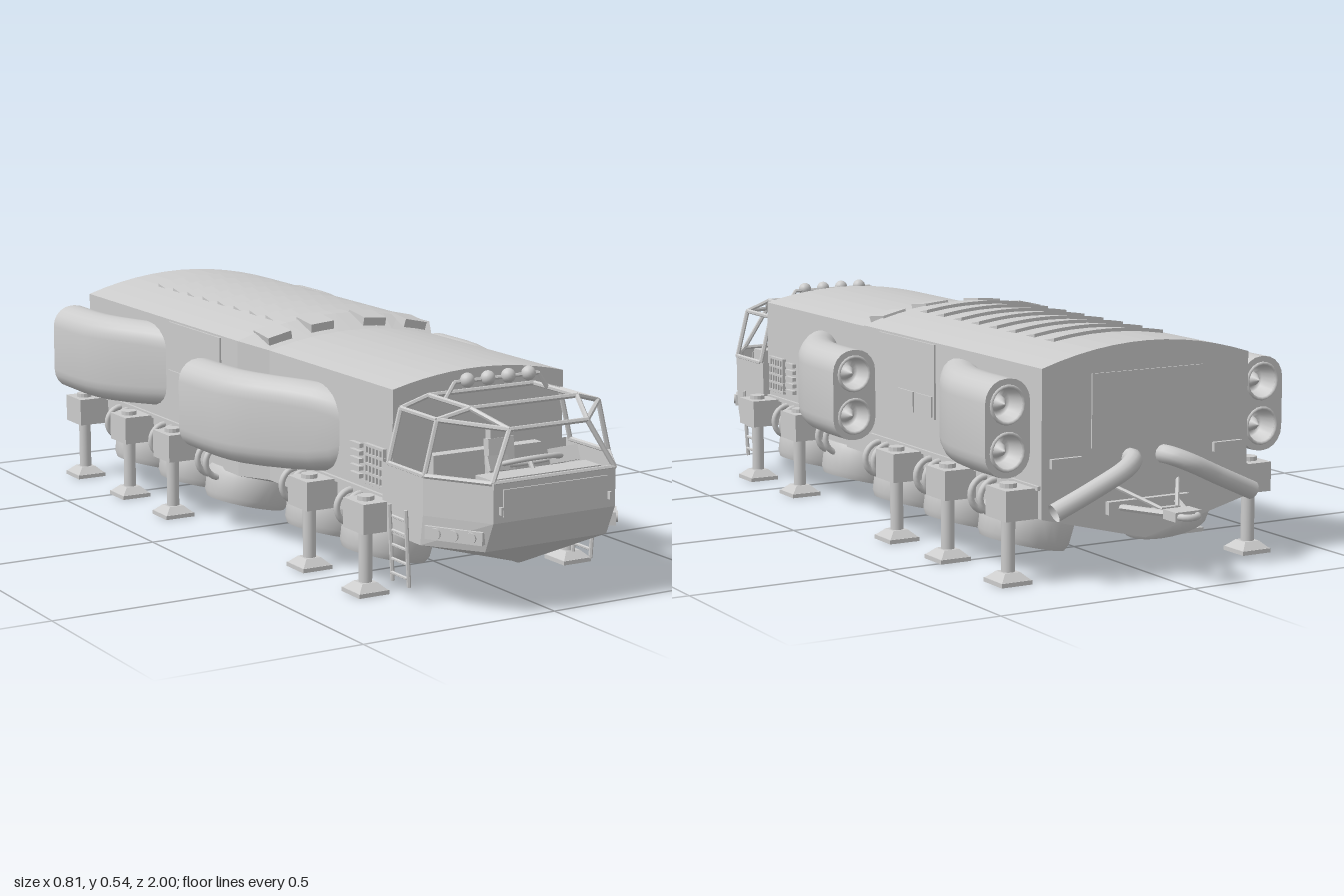
import * as THREE from 'three';
import { toCreasedNormals } from 'three/addons/utils/BufferGeometryUtils.js';

const V = (x, y, z) => new THREE.Vector3(x, y, z);
const flat = new THREE.MeshStandardMaterial({ color: 0xcccccc, flatShading: true, side: THREE.DoubleSide });
const smooth = new THREE.MeshStandardMaterial({ color: 0xcccccc, side: THREE.DoubleSide });

function add(parent, name, geo, pos = [0, 0, 0], rot = [0, 0, 0], mat = flat) {
  const m = new THREE.Mesh(geo, mat);
  m.name = name;
  m.position.set(...pos);
  m.rotation.set(...rot);
  parent.add(m);
  return m;
}
const box = (p, name, size, pos, rot) => add(p, name, new THREE.BoxGeometry(...size), pos, rot);

// straight rod between two points
function bar(p, name, a, b, r = 0.006, sides = 6) {
  const d = b.clone().sub(a);
  const m = add(p, name, new THREE.CylinderGeometry(r, r, d.length(), sides));
  m.position.copy(a).addScaledVector(d, 0.5);
  m.quaternion.setFromUnitVectors(V(0, 1, 0), d.normalize());
}

// skin over rings of equal length, optional fan caps
function loft(rings, capA = true, capB = true) {
  const pos = [], tri = (...v) => v.forEach(q => pos.push(q.x, q.y, q.z));
  const n = rings[0].length;
  for (let s = 0; s < rings.length - 1; s++) {
    const a = rings[s], b = rings[s + 1];
    for (let i = 0; i < n; i++) {
      const j = (i + 1) % n;
      tri(a[i], b[i], a[j]);
      tri(a[j], b[i], b[j]);
    }
  }
  const cap = (ring, flip) => {
    const c = ring.reduce((s, q) => s.add(q), V(0, 0, 0)).divideScalar(n);
    ring.forEach((q, i) => flip ? tri(c, ring[(i + 1) % n], q) : tri(c, q, ring[(i + 1) % n]));
  };
  if (capA) cap(rings[0], false);
  if (capB) cap(rings[rings.length - 1], true);
  const g = new THREE.BufferGeometry();
  g.setAttribute('position', new THREE.Float32BufferAttribute(pos, 3));
  g.computeVertexNormals();
  return g;
}

// hull section: keel, vertical sides, arched roof
function bodyRing([z, w, yc, ye]) {
  const ring = [V(0, 0.08, z), V(w, 0.15, z), V(w, 0.22, z)];
  for (let i = 0; i <= 12; i++) {
    const u = 1 - i / 6;
    ring.push(V(w * u, yc - (yc - ye) * u * u, z));
  }
  ring.push(V(-w, 0.22, z), V(-w, 0.15, z));
  return ring;
}
const roofY = x => 0.535 - 0.045 * (x / 0.28) ** 2;

// rounded upright rectangle as 2D points
function podSection(hw, hh) {
  const r = Math.min(hw, hh) * 0.92, pts = [];
  for (let k = 0; k < 4; k++) for (let i = 0; i <= 5; i++) {
    const a = (k + i / 5) * Math.PI / 2;
    const sx = k === 0 || k === 3 ? 1 : -1, sy = k < 2 ? 1 : -1;
    pts.push(new THREE.Vector2(sx * (hw - r) + r * Math.cos(a), sy * (hh - r) + r * Math.sin(a)));
  }
  return pts;
}

// swept side pod ending in two nozzles
function pod(parent, dy, dz) {
  const g = new THREE.Group();
  g.name = 'enginePod';
  g.position.set(0, 0.33 + dy, dz);
  parent.add(g);
  const path = [[0.5, 0.13, 0.05], [0.47, 0.165, 0.075], [0.43, 0.195, 0.095], [0.38, 0.226, 0.105], [0.32, 0.262, 0.109],
    [0.25, 0.302, 0.111], [0.19, 0.328, 0.112], [0.14, 0.341, 0.112], [0.08, 0.347, 0.112], [-0.035, 0.347, 0.112]];
  const rings = path.map(([z, x, hh]) => podSection(0.058, hh).map(q => V(q.x + x, q.y, z)));
  add(g, 'podShell', toCreasedNormals(loft(rings, true, false), 0.7), undefined, undefined, smooth);
  const end = new THREE.Shape(podSection(0.058, 0.112));
  const bowl = [[0, 0.01], [0.014, 0.03], [0.02, 0.05], [0.032, 0.045], [0.042, 0]].map(q => new THREE.Vector2(...q));
  for (const y of [-0.053, 0.053]) {
    end.holes.push(new THREE.Path().absarc(0, y, 0.042, 0, Math.PI * 2, true));
    add(g, 'nozzleBowl', new THREE.LatheGeometry(bowl, 20), [0.347, y, -0.035], [Math.PI / 2, 0, 0], smooth);
    add(g, 'nozzleRim', new THREE.TorusGeometry(0.042, 0.004, 6, 20), [0.347, y, -0.035], undefined, smooth);
  }
  add(g, 'podEnd', new THREE.ShapeGeometry(end, 16), [0.347, 0, -0.035]);
}

function wheel(parent, x, z) {
  const g = new THREE.Group();
  g.name = 'wheel';
  g.position.set(x, 0.095, z);
  g.rotation.z = 0.23;
  parent.add(g);
  const prof = [[0, -0.034], [0.022, -0.034], [0.03, -0.008], [0.078, -0.008], [0.086, -0.044], [0.1, -0.045],
    [0.108, -0.03], [0.112, 0.02], [0.106, 0.04], [0, 0.04]].map(q => new THREE.Vector2(...q));
  add(g, 'wheelDisc', toCreasedNormals(new THREE.LatheGeometry(prof, 28), 0.6), undefined, undefined, smooth);
  for (let k = 0; k < 3; k++)
    box(g, 'wheelSpoke', [0.16, 0.012, 0.012], [0, -0.014, 0], [0, k * Math.PI / 3, 0]);
}

function outrigger(parent, x, z) {
  box(parent, 'outriggerHousing', [0.085, 0.07, 0.09], [x - 0.01, 0.185, z]);
  add(parent, 'outriggerCollar', new THREE.CylinderGeometry(0.02, 0.02, 0.01, 14), [x, 0.225, z]);
  add(parent, 'outriggerPost', new THREE.CylinderGeometry(0.016, 0.016, 0.15, 14), [x, 0.095, z], undefined, smooth);
  add(parent, 'outriggerFoot', new THREE.CylinderGeometry(0.028, 0.055, 0.018, 4), [x, 0.018, z], [0, Math.PI / 4, 0]);
  box(parent, 'outriggerPad', [0.08, 0.01, 0.08], [x, 0.005, z]);
}

// parts that exist on both sides, built for +x
function buildSide(s) {
  pod(s, 0, 0);
  pod(s, 0.027, -0.735);
  for (const z of [0.54, 0.28, -0.07, -0.33, -0.59]) {
    const rear = z < 0;
    wheel(s, rear ? 0.19 : 0.155, z);
    for (const dz of [-0.022, 0.022])
      add(s, 'suspensionLoop', new THREE.TorusGeometry(0.04, 0.008, 8, 12, Math.PI),
        [rear ? 0.285 : 0.24, 0.17, z + dz], [0, 0, -Math.PI / 2], smooth);
  }
  for (const z of [0.655, 0.4]) outrigger(s, 0.285, z);
  for (const z of [-0.22, -0.47, -0.745]) outrigger(s, 0.33, z);
  // side panels, lockers and radiator grille
  box(s, 'sidePanel', [0.008, 0.18, 0.28], [0.281, 0.395, -0.185]);
  for (const z of [-0.19, -0.28]) box(s, 'sideLocker', [0.014, 0.05, 0.075], [0.282, 0.335, z]);
  box(s, 'sillRail', [0.012, 0.01, 0.8], [0.281, 0.22, -0.4]);
  box(s, 'sillRail', [0.012, 0.01, 0.56], [0.237, 0.22, 0.41]);
  for (let i = 0; i < 6; i++) box(s, 'grilleBar', [0.012, 0.095, 0.006], [0.238, 0.285, 0.585 + i * 0.015]);
  for (let i = 0; i < 5; i++) {
    box(s, 'grilleBar', [0.014, 0.006, 0.085], [0.238, 0.242 + i * 0.022, 0.622]);
    box(s, 'ventSlat', [0.018, 0.01, 0.045], [0.237, 0.25 + i * 0.018, 0.54]);
  }
  // ladder
  for (const z of [0.72, 0.79]) bar(s, 'ladderRail', V(0.252, 0.04, z), V(0.262, 0.22, z), 0.005);
  for (let i = 0; i < 5; i++) bar(s, 'ladderRung', V(0.255, 0.06 + i * 0.033, 0.72), V(0.255, 0.06 + i * 0.033, 0.79), 0.004);
  // headlight cluster on the corner face
  const h = new THREE.Group();
  h.name = 'headlight';
  h.position.set(0.21, 0.184, 0.913);
  h.rotation.y = 1.01;
  s.add(h);
  box(h, 'headlightBox', [0.14, 0.03, 0.022], [0, 0, 0]);
  for (const x of [-0.043, 0, 0.043])
    add(h, 'headlightLens', new THREE.CylinderGeometry(0.013, 0.013, 0.008, 16), [x, 0, 0.013], [Math.PI / 2, 0, 0]);
  // cab window frame
  const sillF = V(0.165, 0.31, 0.99), sillM = V(0.252, 0.31, 0.85), sillR = V(0.252, 0.31, 0.7);
  const topF = V(0.105, 0.42, 0.965), topM = V(0.22, 0.433, 0.85), topR = V(0.22, 0.433, 0.7);
  const roofF = V(0.145, 0.455, 0.87), roofR = V(0.145, 0.455, 0.7);
  for (const [a, b] of [[sillF, topF], [sillM, topM], [sillR, topR], [topF, topM], [topM, topR], [topF, roofF], [roofF, roofR],
    [topM, roofF], [topR, roofR], [sillF, sillM], [sillM, sillR]]) bar(s, 'windowFrame', a, b);
  for (const [n, a] of [['windowHeader', topF], ['windowSill', sillF], ['roofBar', roofF], ['roofBar', roofR]])
    bar(s, n, a, V(0, a.y, a.z));
  // roof light hoop
  bar(s, 'lightHoop', V(0.14, 0.455, 0.76), V(0.115, 0.492, 0.76), 0.005);
  bar(s, 'lightHoop', V(0.115, 0.492, 0.76), V(0, 0.492, 0.76), 0.005);
  for (const x of [0.028, 0.084])
    add(s, 'roofLight', new THREE.SphereGeometry(0.017, 16, 12), [x, 0.495, 0.765], undefined, smooth);
  box(s, 'cabScreen', [0.07, 0.035, 0.008], [0.09, 0.33, 0.9], [-0.4, -0.3, 0]);
  box(s, 'frontPanelHandle', [0.006, 0.018, 0.012], [0.147, 0.248, 0.998]);
  // roof intakes
  for (const x of [0.075, 0.195])
    box(s, 'roofIntake', [0.065, 0.03, 0.075], [x, roofY(x) - 0.014, 0.068], [0.12, 0, -x * 1.15]);
  // rear exhaust, lamps and tow arms
  const curve = new THREE.CatmullRomCurve3([V(0.045, 0.27, -0.79), V(0.05, 0.27, -0.825), V(0.085, 0.255, -0.85), V(0.17, 0.215, -0.85), V(0.27, 0.17, -0.842)]);
  add(s, 'exhaustPipe', new THREE.TubeGeometry(curve, 20, 0.022, 12), undefined, undefined, smooth);
  box(s, 'rearLamp', [0.08, 0.022, 0.01], [0.22, 0.275, -0.812]);
  bar(s, 'towArm', V(0.085, 0.16, -0.8), V(0.015, 0.16, -0.95), 0.008);
  bar(s, 'towBrace', V(0.09, 0.21, -0.8), V(0.02, 0.165, -0.9), 0.005);
}

export function createModel() {
  const model = new THREE.Group();
  model.name = 'heavyCrawlerTruck';

  // main hull
  const stations = [[0.69, 0.235, 0.505, 0.475], [0.12, 0.235, 0.505, 0.475], [0.04, 0.28, 0.535, 0.49], [-0.805, 0.28, 0.535, 0.49]];
  add(model, 'hull', loft(stations.map(bodyRing)));

  // roof louvres: wedges following the roof arch
  for (let i = 0; i < 8; i++) {
    const z = -0.05 - i * 0.085, rings = [];
    for (let k = 0; k <= 8; k++) {
      const x = 0.15 - k * 0.0375, y = roofY(x);
      rings.push([V(x, y - 0.004, z + 0.06), V(x, y - 0.004, z), V(x, y + 0.008, z)]);
    }
    add(model, 'roofLouvre', loft(rings));
  }

  // open cab tub
  const plan = (y, zf, zm, wf, w) => [V(w, y, zm), V(w, y, 0.68), V(-w, y, 0.68), V(-w, y, zm), V(-wf, y, zf), V(wf, y, zf)];
  const keel = plan(0.08, 0.86, 0.84, 0.004, 0.006);
  add(model, 'cabShell', loft([plan(0.31, 0.995, 0.85, 0.165, 0.255), plan(0.22, 0.995, 0.85, 0.165, 0.255), plan(0.15, 0.965, 0.84, 0.165, 0.255), keel], false, true));
  add(model, 'cabFloor', loft([plan(0.215, 0.985, 0.845, 0.16, 0.25), plan(0.205, 0.985, 0.845, 0.16, 0.25)]));
  box(model, 'frontPanel', [0.28, 0.062, 0.006], [0, 0.264, 0.996]);

  // cab interior
  box(model, 'dashboard', [0.3, 0.09, 0.06], [0, 0.265, 0.93]);
  const wheelRim = add(model, 'steeringWheel', new THREE.TorusGeometry(0.045, 0.006, 8, 20), [0, 0.325, 0.895], [1.2, 0, 0], smooth);
  wheelRim.scale.x = 1.7;
  bar(model, 'steeringColumn', V(0, 0.29, 0.92), V(0, 0.325, 0.895));
  box(model, 'seatBase', [0.075, 0.05, 0.075], [0, 0.25, 0.81]);
  box(model, 'seatBack', [0.07, 0.09, 0.02], [0, 0.31, 0.775], [-0.12, 0, 0]);
  box(model, 'headrest', [0.055, 0.03, 0.02], [0, 0.362, 0.768]);
  box(model, 'rearConsole', [0.3, 0.11, 0.03], [0, 0.265, 0.715]);

  // rear plate and tow hitch
  box(model, 'rearPlate', [0.3, 0.17, 0.006], [0, 0.385, -0.806]);
  box(model, 'hitchMount', [0.22, 0.03, 0.02], [0, 0.16, -0.81]);
  box(model, 'hitchCrossbar', [0.07, 0.012, 0.015], [0, 0.16, -0.885]);
  box(model, 'hitchHead', [0.07, 0.022, 0.05], [0, 0.16, -0.95]);
  add(model, 'hitchEye', new THREE.TorusGeometry(0.025, 0.008, 8, 18), [0, 0.16, -0.967], [Math.PI / 2, 0, 0], smooth);

  // mirrored side parts
  for (const sx of [1, -1]) {
    const side = new THREE.Group();
    side.name = sx > 0 ? 'leftSide' : 'rightSide';
    buildSide(side);
    side.scale.x = sx;
    model.add(side);
  }
  return model;
}
